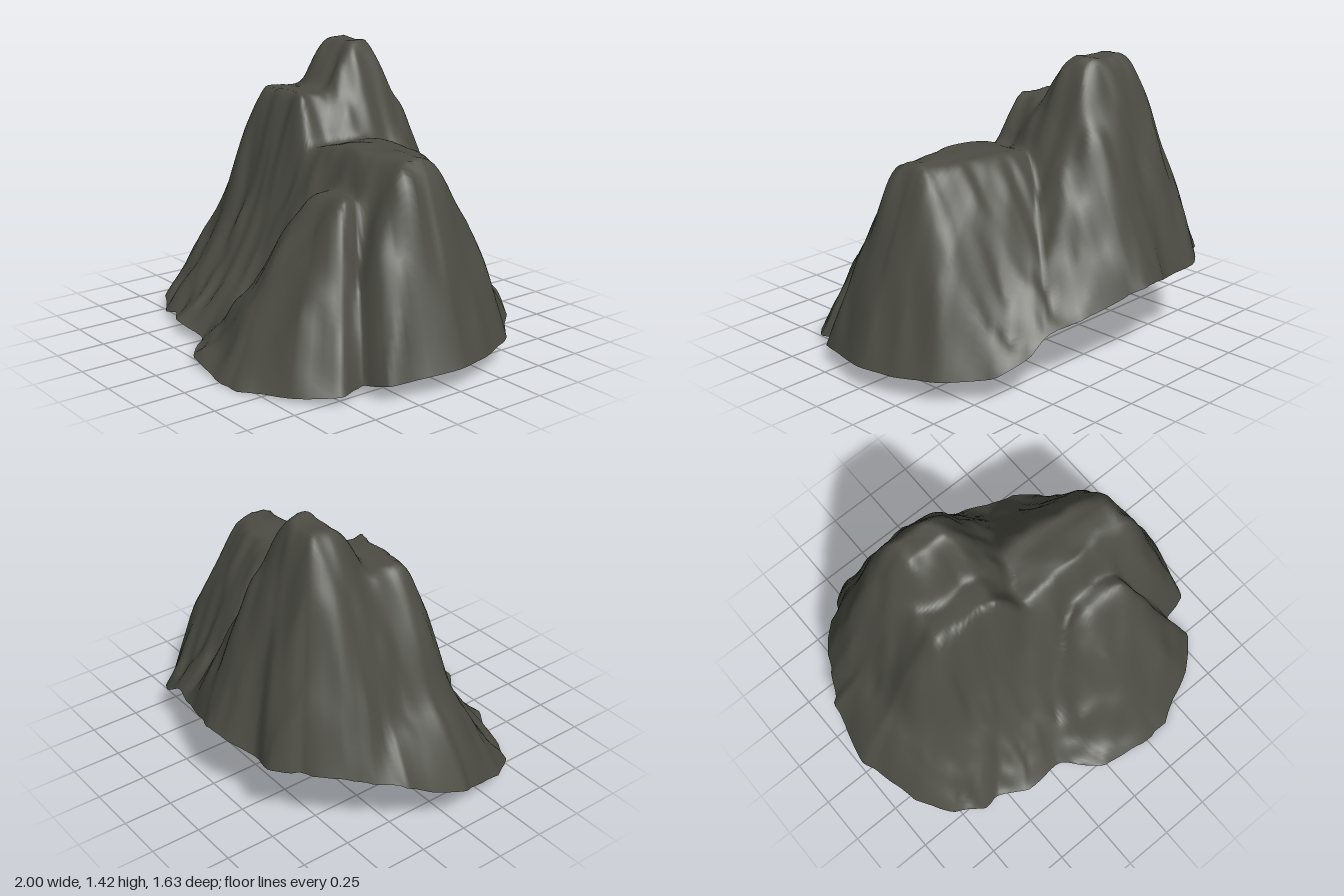
import * as THREE from 'three';

// Rim of the open shell, counter-clockwise from above: x, y, z
const RIM = [
  [-1, .23, 0], [-.97, .2, .07], [-.9, .12, .3], [-.78, .07, .47], [-.65, .04, .55], [-.55, .06, .55],
  [-.42, .08, .63], [-.2, .05, .62], [-.12, .05, .7], [0, .04, .78], [.2, .02, .81], [.36, .01, .81],
  [.63, .03, .68], [.8, .05, .53], [.77, .06, .39], [.9, .09, .35], [.94, .1, .25], [1, .12, 0],
  [.96, .12, -.2], [.88, .13, -.38], [.72, .14, -.56], [.55, .23, -.66], [.43, .3, -.66], [.2, .35, -.73],
  [0, .41, -.79], [-.1, .43, -.81], [-.2, .42, -.79], [-.35, .38, -.74], [-.5, .41, -.76], [-.62, .42, -.67],
  [-.78, .42, -.55], [-.85, .38, -.43], [-.92, .35, -.3], [-.96, .28, -.17],
];

// Rounded rock masses: crown rectangle, height and fall-off slope on each side;
// skew turns the back edge of the crown
const MASSES = [
  { top: 1.43, x: [-.34, -.17], z: [-.38, -.29], skew: 0, left: 2.0, right: 2.2, front: 1.9, back: 2.6 },  // summit
  { top: 1.2, x: [-.44, -.16], z: [-.25, .04], skew: 0, left: 2.0, right: 2.0, front: 3.7, back: 2.6 },    // summit shoulder
  { top: .52, x: [-.46, .05], z: [-.05, .22], skew: 0, left: 1.6, right: 1.0, front: 1.8, back: 2.5 },     // front ledge
  { top: 1.02, x: [.3, .645], z: [-.17, .05], skew: .25, left: .4, right: 3.0, front: 2.4, back: 1.8 },    // plateau
  { top: .83, x: [.26, .47], z: [0, .24], skew: 0, left: 1.9, right: 2.8, front: 1.7, back: 2 },           // front buttress
];
const ROUNDING = .12;

// Seeded smooth noise in the range -1..1
function hash(i, j, k) {
  const s = Math.sin(i * 127.1 + j * 311.7 + k * 74.7) * 43758.5453;
  return (s - Math.floor(s)) * 2 - 1;
}
function noise(x, y, seed) {
  const i = Math.floor(x), j = Math.floor(y);
  const { lerp, smoothstep } = THREE.MathUtils;
  const u = smoothstep(x - i, 0, 1), v = smoothstep(y - j, 0, 1);
  return lerp(lerp(hash(i, j, seed), hash(i + 1, j, seed), u),
    lerp(hash(i, j + 1, seed), hash(i + 1, j + 1, seed), u), v);
}

// Height of one mass, with rounded corners and crown
function massHeight(m, x, z) {
  const backEdge = m.z[0] + m.skew * (THREE.MathUtils.clamp(x, m.x[0], m.x[1]) - m.x[0]);
  const dx = Math.max(m.x[0] - x, 0) * m.left + Math.max(x - m.x[1], 0) * m.right;
  const dz = Math.max(backEdge - z, 0) * m.back + Math.max(z - m.z[1], 0) * m.front;
  return m.top + ROUNDING - Math.hypot(dx, dz, ROUNDING);
}

function rockHeight(x, z) {
  // Warping the plan position gives ledges and flutes on the steep faces
  const wx = x + .02 * noise(x * 4, z * 9, 1) + .012 * noise(x * 11, z * 16, 2);
  const wz = z + .02 * noise(x * 9, z * 4, 3) + .012 * noise(x * 16, z * 11, 4);
  let h = -1;
  for (const m of MASSES) {
    const a = massHeight(m, wx, wz);
    const k = Math.max(.06 - Math.abs(h - a), 0);
    h = Math.max(h, a) + k * k / .24;
  }
  // Gully running down the back between summit and plateau
  const gully = (x - .04) / .07;
  if (z < -.25) h -= .05 * Math.exp(-gully * gully) * Math.min(1, (-.25 - z) * 5);
  // Slight unevenness of the crowns
  return h + .01 * noise(x * 8, z * 8, 6);
}

function rockGeometry() {
  const segments = 168, rings = 52;
  const curve = new THREE.CatmullRomCurve3(RIM.map(p => new THREE.Vector3(...p)), true, 'catmullrom', .3);
  const rim = curve.getPoints(segments).slice(0, segments);
  // Small jags along the rim, leaving the two outermost tips in place
  rim.forEach((p, s) => {
    const jag = 1 + .014 * noise(s * .6, 0, 5) * (Math.abs(p.x) > .93 ? .2 : 1);
    p.set(p.x * jag, p.y, p.z * jag);
  });
  const rimError = rim.map(p => p.y - rockHeight(p.x, p.z));
  const cx = 0, cz = -.1;
  const positions = [cx, rockHeight(cx, cz), cz], index = [];
  for (let r = 1; r <= rings; r++) {
    const t = r / rings;
    rim.forEach((p, s) => {
      const x = cx + (p.x - cx) * t, z = cz + (p.z - cz) * t;
      // The slope eases towards the rim height
      positions.push(x, Math.max(rockHeight(x, z) + rimError[s] * t ** 5, 0), z);
    });
  }
  const at = (r, s) => 1 + (r - 1) * segments + s % segments;
  for (let s = 0; s < segments; s++) {
    index.push(0, at(1, s), at(1, s + 1));
    for (let r = 1; r < rings; r++) {
      const a = at(r, s), b = at(r + 1, s), c = at(r + 1, s + 1), d = at(r, s + 1);
      index.push(a, b, c, a, c, d);
    }
  }
  const geometry = new THREE.BufferGeometry();
  geometry.setAttribute('position', new THREE.Float32BufferAttribute(positions, 3));
  geometry.setIndex(index);
  geometry.computeVertexNormals();
  return geometry;
}

export function createModel() {
  const group = new THREE.Group();
  group.name = 'rockFormation';
  // Open underneath, so both sides show
  const stone = new THREE.MeshStandardMaterial({ color: 0x4c4c44, side: THREE.DoubleSide });
  stone.name = 'darkStone';
  const rock = new THREE.Mesh(rockGeometry(), stone);
  rock.name = 'rockShell';
  group.add(rock);
  return group;
}
